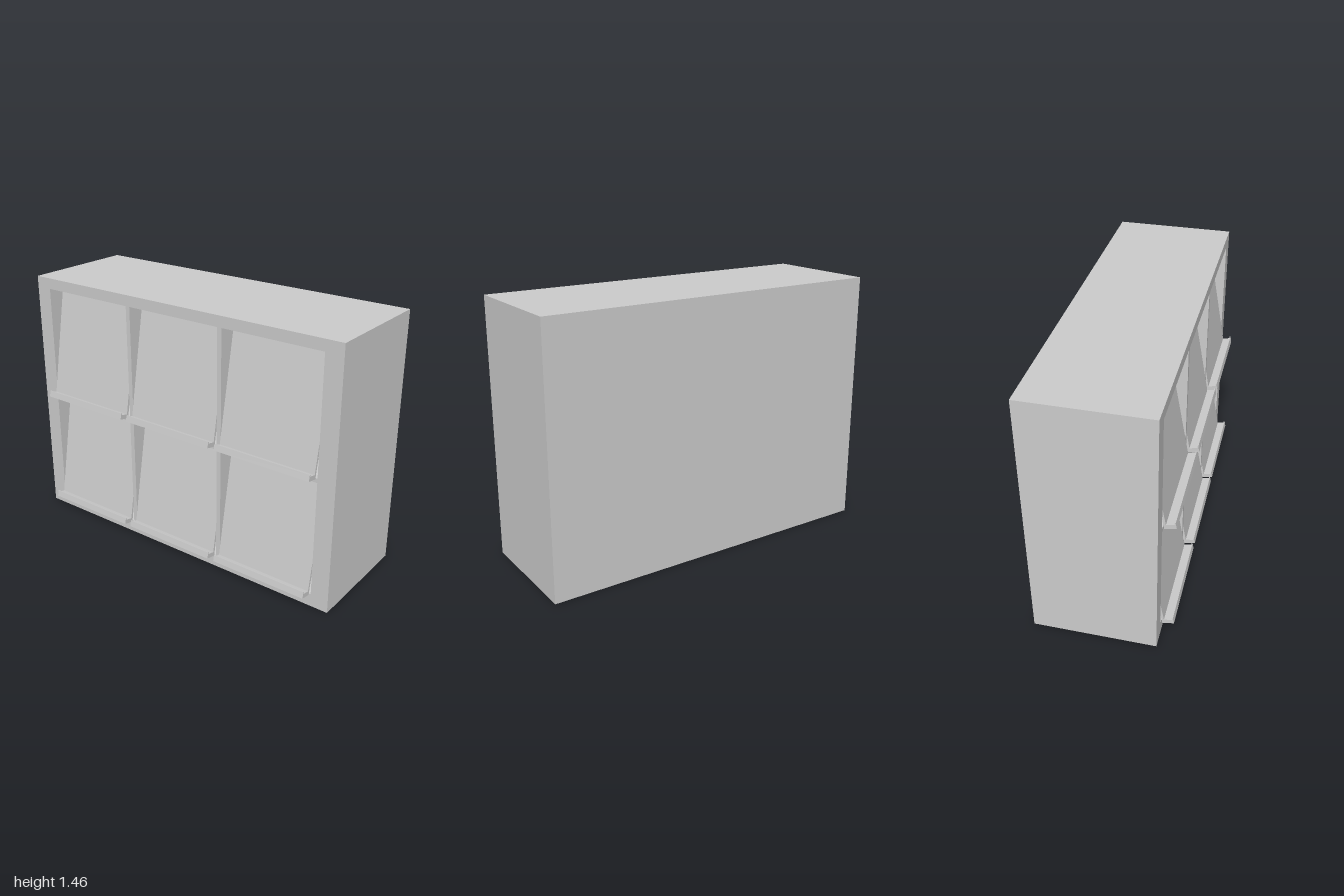
import * as THREE from 'three';

const material = new THREE.MeshStandardMaterial({ color: 0xcccccc });
const BACK = -0.37, FRONT = 0.3, HEIGHT = 1.46;
const columns = [-0.613, -0.003, 0.607]; // bay centres
const rows = [0.072, 0.747]; // bay floors
const BAY_W = 0.584, BAY_H = 0.651, SHELF_W = 0.57;

function polygon(points) {
  return new THREE.Shape(points.map(([x, y]) => new THREE.Vector2(x, y)));
}

function rectangle(x0, y0, x1, y1) {
  return polygon([[x0, y0], [x1, y0], [x1, y1], [x0, y1]]);
}

function add(parent, name, geometry, x = 0, y = 0, z = 0) {
  const mesh = new THREE.Mesh(geometry, material);
  mesh.name = name;
  mesh.position.set(x, y, z);
  parent.add(mesh);
  return mesh;
}

export function createModel() {
  const model = new THREE.Group();
  model.name = 'displayCabinet';

  // Cabinet body with six open bays, closed by a back panel
  const backThickness = 0.03;
  const body = rectangle(-1, 0, 1, HEIGHT);
  for (const x of columns) for (const y of rows) {
    body.holes.push(rectangle(x - BAY_W / 2, y, x + BAY_W / 2, y + BAY_H));
  }
  const depth = FRONT - BACK - backThickness;
  add(model, 'cabinetFrame', new THREE.ExtrudeGeometry(body, { depth, bevelEnabled: false }),
    0, 0, BACK + backThickness);
  add(model, 'backPanel', new THREE.BoxGeometry(2, HEIGHT, backThickness),
    0, HEIGHT / 2, BACK + backThickness / 2);

  // Sloping shelf section (z, y): leaning panel, ledge and small upturned lip
  const section = polygon([
    [0.309, 0], [0.371, 0.012], [0.364, 0.047], [0.358, 0.046],
    [0.361, 0.036], [0.317, 0.027], [0.204, 0.653], [0.189, 0.651],
  ]);
  const shelfGeometry = new THREE.ExtrudeGeometry(section, { depth: SHELF_W, bevelEnabled: false });
  shelfGeometry.rotateY(-Math.PI / 2); // section x -> z, extrusion -> -x
  shelfGeometry.translate(SHELF_W / 2, 0, 0);
  for (const y of rows) for (const x of columns) {
    add(model, 'slopingShelf', shelfGeometry, x, y - 0.002, 0);
  }

  // Centre the overall depth
  model.updateMatrixWorld(true);
  const box = new THREE.Box3().setFromObject(model);
  model.position.z = -(box.min.z + box.max.z) / 2;
  return model;
}
